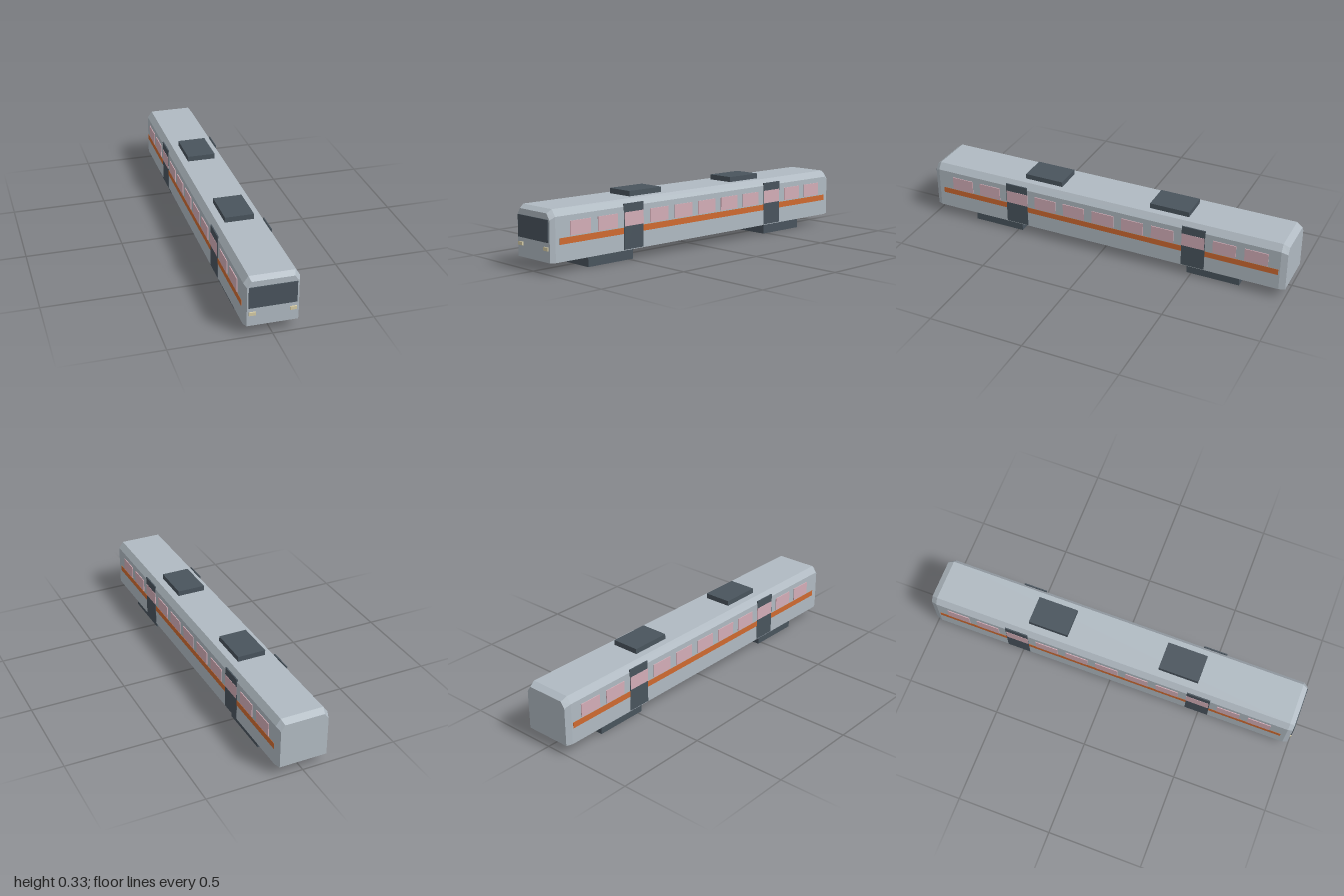
import * as THREE from 'three';

const mat = (name, color) => {
  const m = new THREE.MeshStandardMaterial({ color });
  m.name = name;
  return m;
};

export function createModel() {
  const silver = mat('silver body', 0xb0bac2);
  const dark = mat('dark grey', 0x49545d);
  const orange = mat('orange stripe', 0xcf6a30);
  const pink = mat('pink glass', 0xd3adb7);
  const cream = mat('cream lamp', 0xd6cca6);

  const car = new THREE.Group();
  car.name = 'railCar';

  // Box given by its limits on each axis
  const box = (name, material, [x0, x1], [y0, y1], [z0, z1]) => {
    const mesh = new THREE.Mesh(new THREE.BoxGeometry(x1 - x0, y1 - y0, z1 - z0), material);
    mesh.position.set((x0 + x1) / 2, (y0 + y1) / 2, (z0 + z1) / 2);
    mesh.name = name;
    car.add(mesh);
  };

  // Body shell: six-sided sections, narrowed at both ends, with a dark floor
  const section = (w, shoulder, r, top, z) => [
    [-w, 0.054], [w, 0.054], [w, shoulder], [r, top], [-r, top], [-w, shoulder],
  ].map(([x, y]) => [x, y, z]);
  const rings = [
    section(0.124, 0.256, 0.103, 0.287, -1),
    section(0.135, 0.271, 0.111, 0.305, -0.968),
    section(0.135, 0.271, 0.111, 0.305, 0.968),
    section(0.124, 0.256, 0.103, 0.287, 0.993),
  ];
  const floor = [], shell = [];
  for (let i = 0; i < 3; i++) {
    for (let j = 0; j < 6; j++) {
      const k = (j + 1) % 6;
      const a = rings[i][j], b = rings[i][k], c = rings[i + 1][k], d = rings[i + 1][j];
      (j === 0 ? floor : shell).push(...a, ...b, ...c, ...a, ...c, ...d);
    }
  }
  for (let j = 1; j < 5; j++) {
    shell.push(...rings[3][0], ...rings[3][j], ...rings[3][j + 1]);
    shell.push(...rings[0][0], ...rings[0][j + 1], ...rings[0][j]);
  }
  for (const [name, points, material] of [['bodyShell', shell, silver], ['floor', floor, dark]]) {
    const geometry = new THREE.BufferGeometry();
    geometry.setAttribute('position', new THREE.Float32BufferAttribute(points, 3));
    geometry.computeVertexNormals();
    const mesh = new THREE.Mesh(geometry, material);
    mesh.name = name;
    car.add(mesh);
  }

  // Cab front: windscreen and lamps
  box('windscreen', dark, [-0.116, 0.116], [0.15, 0.258], [0.991, 0.998]);
  box('rightLamp', cream, [-0.115, -0.082], [0.111, 0.128], [0.991, 1]);
  box('leftLamp', cream, [0.082, 0.115], [0.111, 0.128], [0.991, 1]);

  // Roof units and bogies
  for (const s of [1, -1]) {
    const span = (a, b) => (s > 0 ? [a, b] : [-b, -a]);
    box('roofUnit', dark, [-0.074, 0.074], [0.3, 0.332], span(0.25, 0.463));
    box('bogie', dark, [-0.113, 0.113], [0, 0.06], span(0.476, 0.759));
  }

  // Both sides: stripe, doors and a row of eleven windows
  for (const s of [1, -1]) {
    const out = (x) => (s > 0 ? [0.131, x] : [-x, -0.131]);
    box('sideStripe', orange, out(0.1362), [0.137, 0.168], [-0.96, 0.944]);
    for (const z of [0.49, -0.513]) {
      box('door', dark, out(0.1375), [0.058, 0.285], [z - 0.0625, z + 0.0625]);
    }
    for (let i = 0; i < 11; i++) {
      const z = 0.821 - i * 0.1666;
      box('sideWindow', pink, out(0.139), [0.174, 0.243], [z - 0.061, z + 0.061]);
    }
  }
  return car;
}
